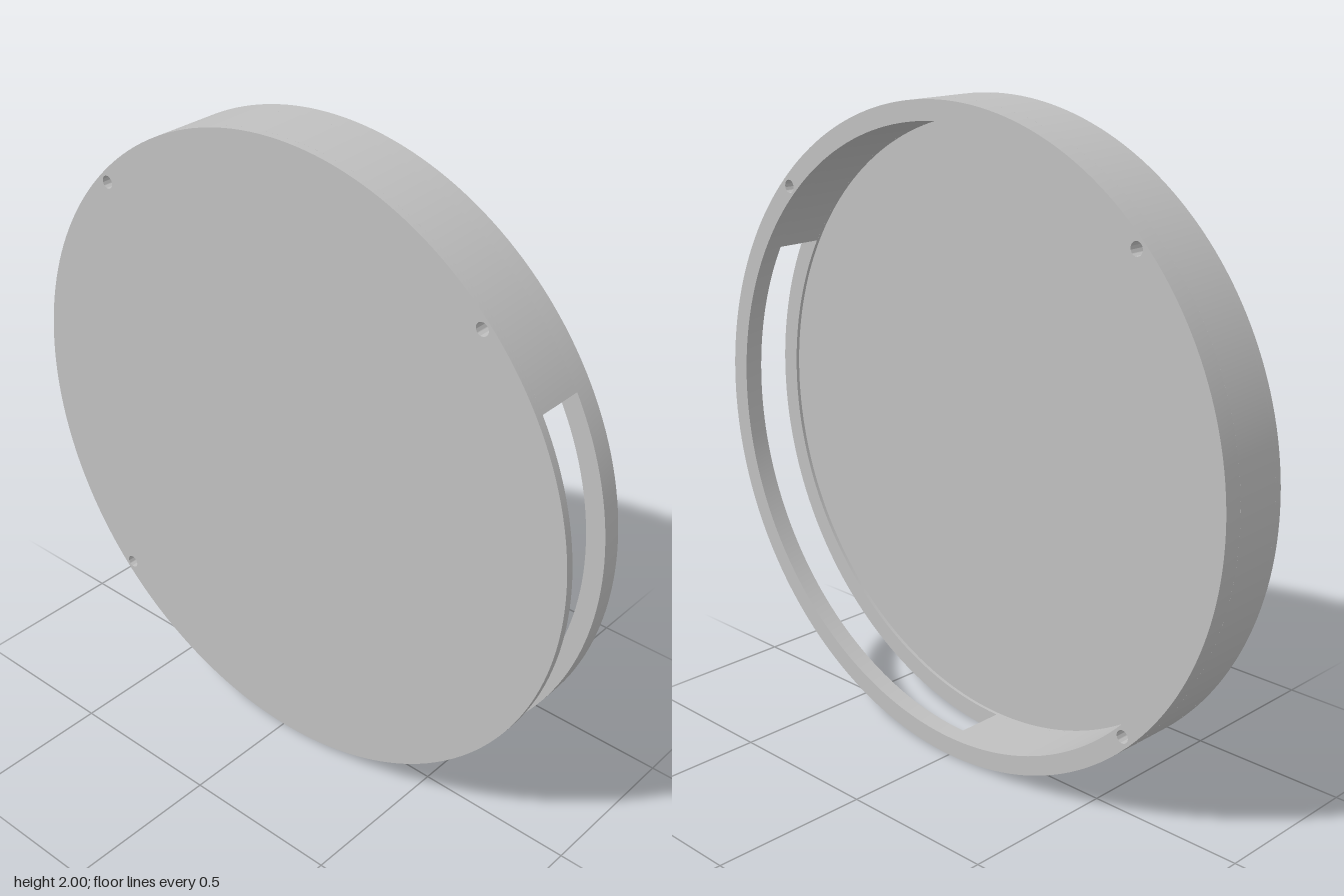
import * as THREE from 'three';
import { toCreasedNormals } from 'three/addons/utils/BufferGeometryUtils.js';

const OUTER = 1, INNER = 0.94;
const HOLE_RADIUS = 0.02, HOLE_OFFSET = 0.685;
const SLOT_START = -Math.PI / 2, SLOT_END = Math.PI / 6;

export function createModel() {
  const group = new THREE.Group();
  group.name = 'roundCover';
  const grey = new THREE.MeshStandardMaterial({ color: 0xc0c0c0 });
  grey.name = 'grey';

  const disc = () => new THREE.Shape().absarc(0, 0, OUTER, 0, Math.PI * 2, false);

  const ring = () => {
    const s = disc();
    s.holes.push(new THREE.Path().absarc(0, 0, INNER, 0, Math.PI * 2, true));
    return s;
  };

  // Wall that leaves the side slot open
  const openRing = () => {
    const s = new THREE.Shape();
    s.absarc(0, 0, OUTER, SLOT_END, SLOT_START + Math.PI * 2, false);
    s.absarc(0, 0, INNER, SLOT_START + Math.PI * 2, SLOT_END, true);
    s.closePath();
    return s;
  };

  // Extrude one layer between two depths, with the three screw holes through it
  const addLayer = (name, shape, z0, z1) => {
    for (const [sx, sy] of [[1, 1], [-1, 1], [-1, -1]]) {
      shape.holes.push(new THREE.Path().absarc(
        sx * HOLE_OFFSET, sy * HOLE_OFFSET, HOLE_RADIUS, 0, Math.PI * 2, true));
    }
    const geometry = new THREE.ExtrudeGeometry(shape, {
      depth: z1 - z0, bevelEnabled: false, curveSegments: 96,
    });
    const mesh = new THREE.Mesh(toCreasedNormals(geometry, 0.5), grey);
    mesh.name = name;
    mesh.position.set(0, 1, z0);
    group.add(mesh);
  };

  addLayer('frontPlate', disc(), 0.105, 0.118);
  addLayer('frontFlange', ring(), 0.094, 0.105);
  addLayer('slottedWall', openRing(), -0.057, 0.094);
  addLayer('backRim', ring(), -0.118, -0.057);

  return group;
}
